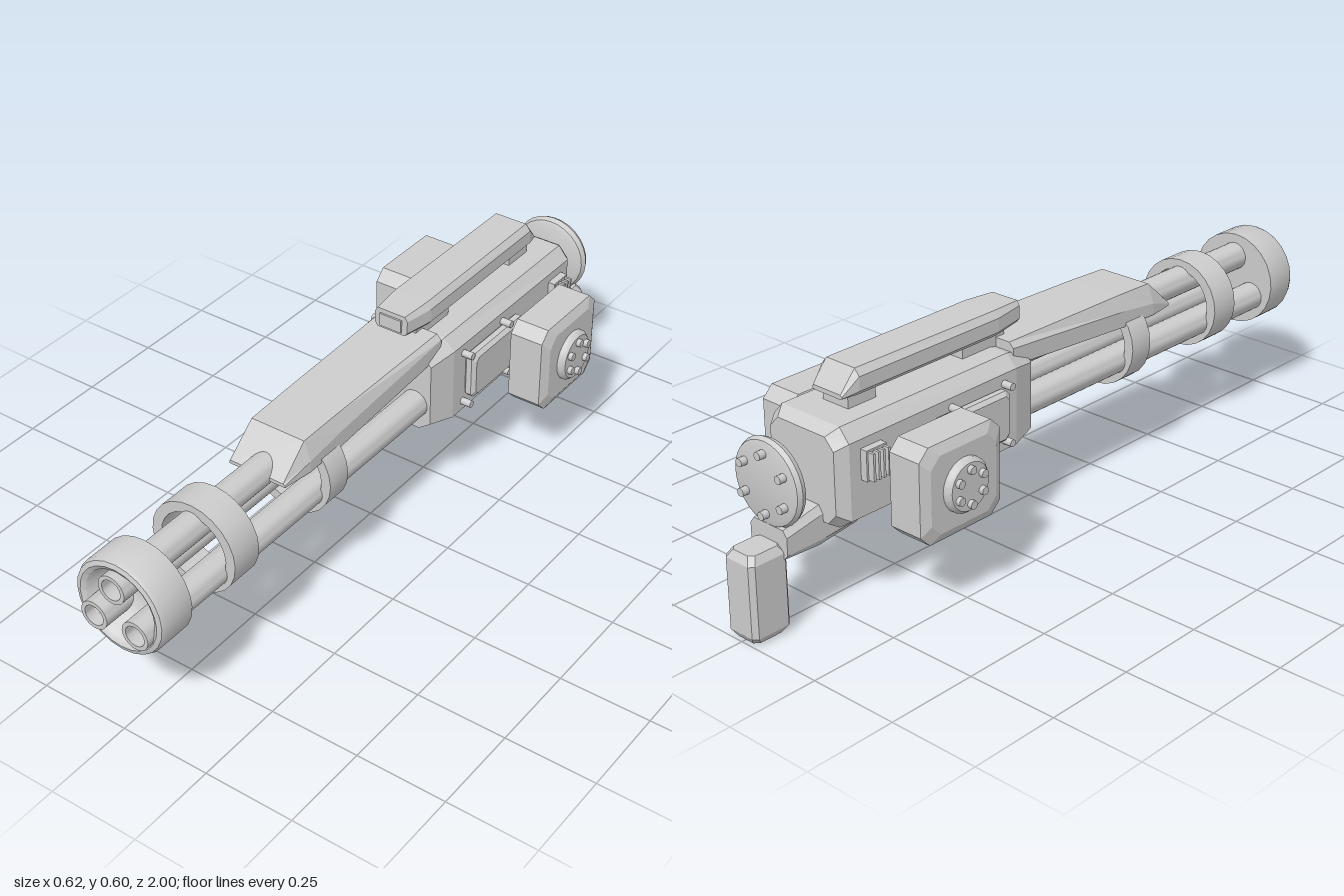
import * as THREE from 'three';
import { toCreasedNormals } from 'three/addons/utils/BufferGeometryUtils.js';

const metal = new THREE.MeshStandardMaterial({ color: 0xcccccc });
metal.name = 'grey metal';

// Eight-sided section, symmetric in x: half widths at top, middle, bottom and four heights
function section(z, wTop, wMid, wBot, y0, yLow, yHigh, y1) {
  const right = [[wBot, y0], [wMid, yLow], [wMid, yHigh], [wTop, y1]];
  const left = right.map(([x, y]) => [-x, y]).reverse();
  return [...right, ...left].map(([x, y]) => [x, y, z]);
}

// Skin over sections ordered from low z to high z, with flat faces and end caps
function loft(sections) {
  const n = sections[0].length, index = [];
  for (let i = 0; i < sections.length - 1; i++) {
    for (let j = 0; j < n; j++) {
      const a = i * n + j, b = i * n + (j + 1) % n;
      index.push(a, b, b + n, a, b + n, a + n);
    }
  }
  const last = (sections.length - 1) * n;
  for (let j = 1; j < n - 1; j++) {
    index.push(0, j + 1, j, last, last + j, last + j + 1);
  }
  const g = new THREE.BufferGeometry();
  g.setAttribute('position', new THREE.Float32BufferAttribute(sections.flat(2), 3));
  g.setIndex(index);
  const flat = g.toNonIndexed();
  flat.computeVertexNormals();
  return flat;
}

// Box with cut corners; the ends along z shrink by the inset over the given depth
function chamferBox(w, h, d, cut, inset, depth) {
  const s = (z, k) => section(z, w / 2 - cut - k, w / 2 - k, w / 2 - cut - k,
    -h / 2 + k, -h / 2 + cut + k, h / 2 - cut - k, h / 2 - k);
  return loft([s(-d / 2, inset), s(-d / 2 + depth, 0), s(d / 2 - depth, 0), s(d / 2, inset)]);
}

// Turned part along z from [radius, z] points, ordered from back to front on the outside
function turned(points, sides) {
  const g = new THREE.LatheGeometry(points.map(p => new THREE.Vector2(...p)), sides);
  g.rotateX(Math.PI / 2);
  return toCreasedNormals(g, 0.7);
}

function add(parent, name, geometry, x = 0, y = 0, z = 0) {
  const mesh = new THREE.Mesh(geometry, metal);
  mesh.name = name;
  mesh.position.set(x, y, z);
  parent.add(mesh);
  return mesh;
}

// Ring of six studs around the z axis
function studs(parent, name, circle, radius, length, z) {
  for (let i = 0; i < 6; i++) {
    const a = (i + 0.5) * Math.PI / 3;
    const g = new THREE.CylinderGeometry(radius, radius, length, 10).rotateX(Math.PI / 2);
    add(parent, name, g, circle * Math.cos(a), circle * Math.sin(a), z);
  }
}

// Everything mounted on one flank; side is +1 for left, -1 for right
function buildFlank(side) {
  const flank = new THREE.Group();
  flank.name = side > 0 ? 'leftFlank' : 'rightFlank';

  // Ammunition pod, built facing +z and turned outwards
  const pod = new THREE.Group();
  pod.name = 'pod';
  pod.position.set(side * 0.219, 0.333, -0.535);
  pod.rotation.y = side * Math.PI / 2;
  add(pod, 'podCase', chamferBox(0.27, 0.254, 0.122, 0.03, 0.025, 0.013));
  add(pod, 'podMount', new THREE.CylinderGeometry(0.06, 0.06, 0.05, 20).rotateX(Math.PI / 2), 0, 0, -0.075);
  add(pod, 'podCap', turned([[0, 0.055], [0.071, 0.055], [0.071, 0.07], [0.062, 0.081], [0, 0.081]], 24));
  studs(pod, 'podStud', 0.045, 0.011, 0.026, 0.08);
  flank.add(pod);

  // Raised side panel with two pins in front of it
  const panel = add(flank, 'sidePanel', chamferBox(0.25, 0.135, 0.036, 0.012, 0.01, 0.01), side * 0.144, 0.37, -0.365);
  panel.rotation.y = side * Math.PI / 2;
  for (const y of [0.443, 0.29]) {
    for (const z of [-0.235, -0.42]) {
      add(flank, 'pin', new THREE.CylinderGeometry(0.01, 0.01, 0.06, 12).rotateZ(Math.PI / 2), side * 0.13, y, z);
    }
  }

  // Slatted vent behind the pod
  add(flank, 'ventBase', new THREE.BoxGeometry(0.03, 0.08, 0.065), side * 0.133, 0.402, -0.688);
  for (let i = 0; i < 4; i++) {
    add(flank, 'ventSlat', new THREE.BoxGeometry(0.024, 0.072, 0.007), side * 0.154, 0.402, -0.664 - i * 0.016);
  }
  return flank;
}

export function createModel() {
  const model = new THREE.Group();
  model.name = 'rotaryCannon';
  const axisY = 0.365;

  // Three hollow barrels around the axis
  for (let i = 0; i < 3; i++) {
    const a = Math.PI / 2 + i * Math.PI * 2 / 3;
    const barrel = turned([[0.039, -0.14], [0.039, 1], [0.028, 1], [0.028, 0.85], [0, 0.85]], 24);
    add(model, 'barrel', barrel, 0.071 * Math.cos(a), axisY - 0.004 + 0.071 * Math.sin(a));
  }

  // Dished muzzle and the two clamp bands
  add(model, 'muzzle', turned([[0, 0.878], [0.132, 0.878], [0.132, 0.968], [0.127, 0.979], [0.115, 0.983],
    [0.103, 0.976], [0.095, 0.955], [0.075, 0.925], [0.04, 0.905], [0, 0.9]], 24), 0, axisY);
  for (const [z0, z1] of [[0.625, 0.715], [0.27, 0.343]]) {
    add(model, 'clampBand', turned([[0.098, z0], [0.126, z0], [0.126, z1], [0.098, z1], [0.098, z0]], 24), 0, axisY);
  }

  // Sloped shroud over the barrels
  add(model, 'shroud', loft([
    section(-0.17, 0.088, 0.102, 0.1, 0.46, 0.465, 0.508, 0.522),
    section(0.26, 0.082, 0.1, 0.1, 0.43, 0.435, 0.475, 0.516),
    section(0.385, 0.08, 0.1, 0.098, 0.425, 0.43, 0.46, 0.512),
    section(0.47, 0.08, 0.085, 0.085, 0.425, 0.427, 0.431, 0.435),
  ]));

  // Receiver
  add(model, 'receiver', loft([
    section(-0.786, 0.08, 0.108, 0.08, 0.255, 0.285, 0.45, 0.48),
    section(-0.755, 0.098, 0.128, 0.085, 0.235, 0.265, 0.465, 0.5),
    section(-0.19, 0.098, 0.13, 0.085, 0.23, 0.262, 0.47, 0.502),
    section(-0.113, 0.085, 0.11, 0.075, 0.25, 0.275, 0.455, 0.482),
  ]));

  // Top rail, its two feet and the framed window at its front
  add(model, 'topRail', loft([
    section(-0.7, 0.045, 0.05, 0.045, 0.533, 0.536, 0.54, 0.545),
    section(-0.655, 0.048, 0.063, 0.053, 0.533, 0.545, 0.582, 0.6),
    section(-0.18, 0.05, 0.063, 0.053, 0.533, 0.545, 0.582, 0.6),
    section(-0.09, 0.042, 0.05, 0.042, 0.54, 0.55, 0.585, 0.597),
  ]));
  add(model, 'railFoot', new THREE.BoxGeometry(0.085, 0.06, 0.15), 0, 0.51, -0.215);
  add(model, 'railFoot', new THREE.BoxGeometry(0.085, 0.06, 0.09), 0, 0.51, -0.63);
  add(model, 'railWindow', new THREE.BoxGeometry(0.066, 0.036, 0.008), 0, 0.566, -0.089);

  // Rear disc with studs
  const disc = new THREE.Group();
  disc.name = 'rearDisc';
  disc.position.set(0, 0.377, -0.887);
  add(disc, 'discPlate', turned([[0, -0.016], [0.095, -0.016], [0.107, -0.012], [0.113, 0],
    [0.107, 0.014], [0.095, 0.02], [0, 0.02]], 28));
  studs(disc, 'discStud', 0.077, 0.011, 0.026, -0.022);
  model.add(disc);

  // Handle bracket and grip
  add(model, 'gripBracket', loft([
    section(-0.9, 0.05, 0.063, 0.05, 0.195, 0.21, 0.255, 0.272),
    section(-0.79, 0.05, 0.063, 0.05, 0.19, 0.21, 0.275, 0.295),
    section(-0.67, 0.05, 0.063, 0.05, 0.205, 0.22, 0.275, 0.295),
  ]));
  const grip = add(model, 'grip', chamferBox(0.1, 0.116, 0.232, 0.012, 0.013, 0.02), 0, 0.116, -0.942);
  grip.rotation.x = Math.PI / 2;

  model.add(buildFlank(1), buildFlank(-1));
  return model;
}
